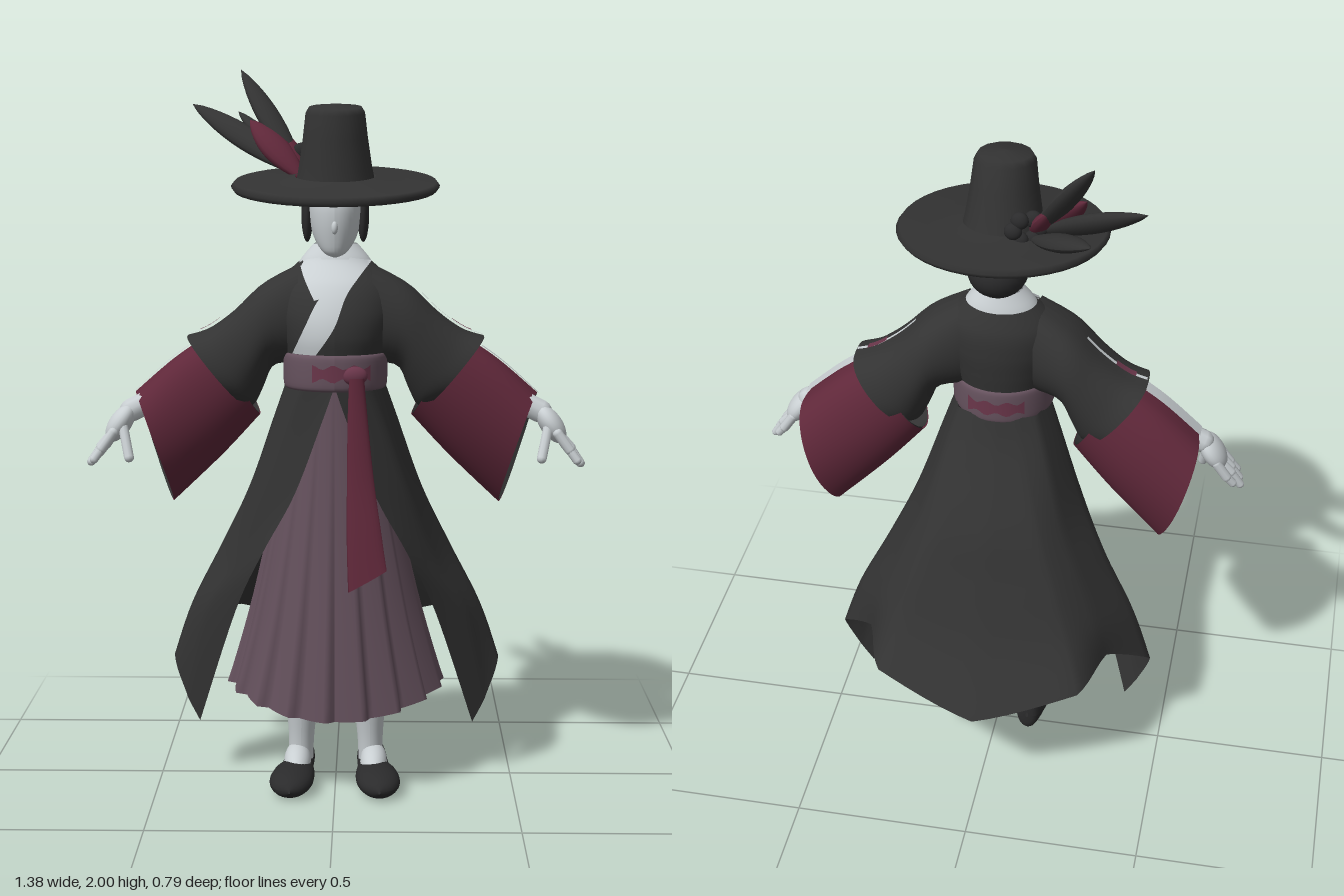
import * as THREE from 'three';

const mat = (name, color) => new THREE.MeshStandardMaterial({ name, color, side: THREE.DoubleSide });
const black = mat('black cloth', 0x333333);
const dark = mat('dark hair and leather', 0x2b2b2c);
const red = mat('wine red', 0x60283a);
const mauve = mat('mauve', 0x66525e);
const plum = mat('plum', 0x6a364a);
const pale = mat('pale skin and linen', 0xc9cfd2);

// Catmull-Rom through rows of numbers; round = 0 gives straight lines
function spline(rows, t, round = 1) {
  const n = rows.length, f = t * (n - 1), i = Math.min(Math.floor(f), n - 2), w = f - i;
  const b = rows[i], c = rows[i + 1], a = rows[i - 1] ?? b, d = rows[i + 2] ?? c;
  return b.map((_, k) => {
    const line = b[k] + (c[k] - b[k]) * w;
    const curve = 0.5 * (2 * b[k] + (c[k] - a[k]) * w + (2 * a[k] - 5 * b[k] + 4 * c[k] - d[k]) * w * w
      + (3 * b[k] - a[k] - 3 * c[k] + d[k]) * w * w * w);
    return line + (curve - line) * round;
  });
}

// Surface from fn(u, v) -> [x, y, z]
function surface(name, material, nu, nv, fn) {
  const pos = [], idx = [];
  for (let j = 0; j <= nv; j++) for (let i = 0; i <= nu; i++) pos.push(...fn(i / nu, j / nv));
  for (let j = 0; j < nv; j++) for (let i = 0; i < nu; i++) {
    const a = j * (nu + 1) + i, b = a + nu + 1;
    idx.push(a, a + 1, b, a + 1, b + 1, b);
  }
  const g = new THREE.BufferGeometry();
  g.setAttribute('position', new THREE.Float32BufferAttribute(pos, 3));
  g.setIndex(idx);
  g.computeVertexNormals();
  return part(name, g, material);
}

function part(name, geometry, material, p = [0, 0, 0], s = [1, 1, 1]) {
  const m = new THREE.Mesh(geometry, material);
  m.name = name;
  m.position.set(...p);
  m.scale.set(...s);
  return m;
}
const ball = (name, material, p, s) => part(name, new THREE.SphereGeometry(1, 24, 16), material, p, s);

// Stack of ellipses, rows are [y, halfX, halfZ, centreZ, centreX]
const stack = (name, material, rows, nv = 16) => surface(name, material, 40, nv, (u, v) => {
  const [y, hx, hz, cz, cx = 0] = spline(rows, v), a = u * Math.PI * 2;
  return [cx + hx * Math.sin(a), y, cz + hz * Math.cos(a)];
});

// Round-ended rod between two points
function rod(name, material, a, b, r) {
  const p = new THREE.Vector3(...a), q = new THREE.Vector3(...b), d = q.clone().sub(p);
  const m = part(name, new THREE.CapsuleGeometry(r, d.length(), 4, 10), material);
  m.position.copy(p).add(q).multiplyScalar(0.5);
  m.quaternion.setFromUnitVectors(new THREE.Vector3(0, 1, 0), d.normalize());
  return m;
}

// Torso rows, evenly spaced for sampling by height
const torso = [[1.14, .13, .13, .1], [1.21, .132, .13, .1], [1.28, .15, .14, .1], [1.35, .165, .137, .09],
  [1.42, .155, .115, .073], [1.49, .085, .062, .052]];
function torsoZ(x, y) {
  const [, hx, hz, cz] = spline(torso, THREE.MathUtils.clamp((y - 1.14) / .35, 0, 1));
  return cz + hz * Math.sqrt(Math.max(0.05, 1 - (x / hx) ** 2));
}
// Linen band laid on the chest, rows are [xA, yA, xB, yB]
const band = (name, rows, lift) => surface(name, pale, 12, 24, (u, v) => {
  const [xa, ya, xb, yb] = spline(rows, v), x = xa + (xb - xa) * u, y = ya + (yb - ya) * u;
  return [x, y, torsoZ(x, y) + lift];
});

// Sleeve rows: [topX, topY, bottomX, bottomY, halfZ, centreZ, backSkew, narrowing and backward drift of the bottom]
const upperSleeve = [[.1, 1.47, .1, 1.2, .1, .075, 0, 0], [.2, 1.415, .17, 1.19, .115, .065, 0, 0], [.28, 1.34, .2, 1.13, .115, .06, 0, 0],
  [.35, 1.29, .225, 1.08, .115, .055, 0, 0], [.41, 1.27, .25, 1.075, .118, .05, 0, 0]];
const cuff = [[.34, 1.28, .21, 1.05, .1, .05, 0, .01], [.45, 1.205, .32, .93, .11, .045, .005, .025], [.557, 1.11, .46, .795, .118, .045, .018, .05]];
const sleeve = (name, material, rows, s, k = 1) => surface(name, material, 40, 14, (u, v) => {
  const [tx, ty, bx, by, hz, cz, skew, drift] = spline(rows, v), a = u * Math.PI * 2, c = (1 - k * Math.cos(a)) / 2;
  const w = Math.sign(Math.sin(a)) * Math.abs(Math.sin(a)) ** (c < .5 ? .7 : 1);
  return [s * (tx + (bx - tx) * c - skew * w), ty + (by - ty) * c, cz - drift * c + k * (hz - drift * c * c) * w];
});
const strip = (name, material, rows, s, z, w, v0, v1, lift) => surface(name, material, 1, 10, (u, v) => {
  const [tx, ty] = spline(rows, v0 + (v1 - v0) * v);
  return [s * (tx + lift), ty + lift, z + (u - .5) * w];
});

// Coat skirt columns from front edge to centre back, six points each
const coat = [
  [0, 1.15, .235, .035, 1.05, .232, .11, .85, .215, .2, .68, .18, .28, .5, .11, .39, .155, .01],
  [.09, 1.15, .2, .13, 1.05, .18, .2, .85, .15, .28, .65, .1, .37, .48, .05, .425, .22, 0],
  [.135, 1.15, .09, .17, 1.05, .07, .24, .85, .04, .32, .68, 0, .41, .5, -.02, .465, .34, -.03],
  [.11, 1.15, 0, .14, 1.05, -.03, .2, .85, -.09, .26, .7, -.13, .32, .55, -.16, .35, .44, -.15],
  [.06, 1.15, -.025, .08, 1.05, -.06, .14, .85, -.15, .19, .7, -.2, .24, .55, -.25, .29, .42, -.315],
  [0, 1.15, -.035, 0, 1.05, -.07, 0, .85, -.17, 0, .7, -.22, 0, .52, -.29, 0, .34, -.395]];
const coatAll = [...coat, ...coat.slice(0, 5).reverse().map(c => c.map((n, i) => i % 3 ? n : -n))];

// Leaf-shaped feather from base to tip
function feather(name, material, base, tip, width) {
  const a = new THREE.Vector3(...base), d = new THREE.Vector3(...tip).sub(a);
  const n = new THREE.Vector3(.6, -.1, .8), side = d.clone().cross(n).normalize();
  n.crossVectors(side, d).normalize();
  return surface(name, material, 14, 14, (u, v) => {
    const w = width * (Math.sin(Math.PI * v ** 1.1) ** .75 + .15 * (1 - v)), t = u * Math.PI * 2;
    return a.clone().addScaledVector(d, v).addScaledVector(side, w * Math.cos(t))
      .addScaledVector(n, .6 * w * Math.sin(t)).toArray();
  });
}

export function createModel() {
  const model = new THREE.Group();
  model.name = 'robedFigure';
  const add = (...m) => model.add(...m);

  // Robe, sash and pleated skirt
  add(stack('robeTop', black, torso, 60));
  add(surface('coatSkirt', black, 60, 30, (u, v) => {
    const c = spline(coatAll, u, .35);
    return spline(Array.from({ length: 6 }, (_, i) => c.slice(i * 3, i * 3 + 3)), v);
  }));
  const skirt = [[1.15, .11, .11, .1], [.93, .145, .125, .095], [.7, .19, .16, .07], [.46, .24, .2, .04], [.22, .3, .232, .015]];
  add(surface('pleatedSkirt', mauve, 180, 16, (u, v) => {
    const [y, hx, hz, cz] = spline(skirt, v), a = u * Math.PI * 2, f = (u * 18) % 1;
    const r = 1 + .08 * v * ((f < .8 ? f / .8 : (1 - f) / .2) - .6);
    return [hx * r * Math.sin(a), y + .06 * v * v * Math.sin(a) ** 2, cz + hz * r * Math.cos(a)];
  }));
  add(stack('sash', mauve, [[1.135, .135, .135, .1], [1.15, .142, .142, .102], [1.22, .142, .142, .102], [1.235, .132, .132, .1]]));
  for (const [name, a0] of [['sashFrontPatch', .15], ['sashBackPatch', Math.PI]])
    add(surface(name, plum, 16, 2, (u, v) => {
      const a = a0 + (u - .5) * 1.15, h = .018 + .006 * Math.cos(u * 18);
      return [.146 * Math.sin(a), 1.185 + h * (2 * v - 1), .102 + .146 * Math.cos(a)];
    }));
  add(ball('sashKnot', plum, [.055, 1.18, .238], [.034, .026, .018]));
  const ribbon = [[.06, 1.175, .25, .02], [.062, 1.08, .252, .026], [.07, .9, .265, .036], [.08, .75, .285, .046], [.09, .63, .3, .052]];
  add(surface('ribbon', red, 16, 16, (u, v) => {
    const [x, y, z, w] = spline(ribbon, v), a = u * Math.PI * 2, c = Math.cos(a);
    return [x + w * c, y + .03 * v * v * c, z + .011 * Math.sin(a)];
  }));

  // Crossed collar, chest linen and neck
  add(band('leftCollar', [[.1, 1.48, .04, 1.49], [.065, 1.44, 0, 1.43], [.03, 1.39, -.045, 1.38], [0, 1.31, -.08, 1.31], [-.05, 1.235, -.115, 1.235]], .012));
  add(band('rightCollar', [[-.1, 1.48, -.04, 1.49], [-.085, 1.44, -.015, 1.44], [-.055, 1.38, .015, 1.4]], .01));
  add(band('chestLinen', [[-.07, 1.49, .07, 1.49], [-.06, 1.45, .055, 1.45], [-.03, 1.385, .01, 1.385]], .008));
  add(stack('neckCollar', pale, [[1.465, .105, .076, .056], [1.49, .09, .068, .055], [1.525, .06, .052, .052]], 10));
  add(stack('neck', pale, [[1.44, .06, .06, .08], [1.5, .047, .047, .065], [1.6, .047, .047, .07]], 6));

  // Head and hair
  add(stack('face', pale, [[1.493, .004, .004, .165], [1.505, .03, .03, .158], [1.54, .055, .07, .13], [1.59, .07, .095, .115],
    [1.64, .075, .1, .11], [1.69, .07, .09, .1]]));
  add(ball('nose', pale, [0, 1.575, .206], [.009, .018, .011]));
  add(ball('hairCap', dark, [0, 1.645, .055], [.09, .065, .09]));
  add(ball('hairBun', dark, [0, 1.605, .005], [.083, .077, .083]));
  for (const s of [-1, 1]) add(ball('sideLock', dark, [s * .076, 1.61, .12], [.016, .078, .034]));

  // Tilted hat
  const hat = new THREE.Group();
  hat.name = 'hat';
  hat.position.set(0, 1.672, .083);
  hat.rotation.x = .12;
  const profile = pts => pts.map(p => new THREE.Vector2(...p));
  hat.add(part('brim', new THREE.LatheGeometry(profile([[0, .005], [.12, .005], [.22, 0], [.275, 0], [.284, .012], [.275, .024],
    [.2, .022], [.11, .038]]), 40), black, [0, 0, 0], [1, 1, 1.09]));
  hat.add(part('crown', new THREE.LatheGeometry(profile([[.11, .02], [.102, .06], [.09, .14], [.082, .208], [.072, .224], [0, .232]]), 14),
    black, [0, 0, 0], [1, 1, 1.06]));
  add(hat);

  // Feathers and hat flower
  add(feather('tallFeather', black, [-.09, 1.71, .02], [-.27, 2, -.14], .033));
  add(feather('outerFeather', black, [-.09, 1.71, .03], [-.41, 1.905, -.17], .034));
  add(feather('backFeather', black, [-.09, 1.71, 0], [-.29, 1.885, -.32], .032));
  add(feather('redFeather', red, [-.09, 1.7, .045], [-.24, 1.86, -.05], .038));
  add(feather('smallRedFeather', red, [-.09, 1.7, .035], [-.15, 1.83, -.06], .03));
  for (let i = 0; i < 6; i++) {
    const a = i * Math.PI / 3;
    add(ball('hatFlowerPetal', dark, [-.08 + .033 * Math.cos(a), 1.745 + .033 * Math.sin(a), -.02 - .015 * Math.cos(a)], [.024, .024, .018]));
  }

  for (const s of [-1, 1]) {
    // Sleeves with wide cuffs
    add(sleeve('upperSleeve', black, upperSleeve, s), sleeve('cuff', red, cuff, s), sleeve('cuffLining', black, cuff, s, .965));
    add(strip('cuffSlit', pale, cuff, s, .062, .045, .3, 1, .004));
    add(strip('sleeveSeam', pale, upperSleeve, s, .05, .012, .35, .95, .004), strip('sleeveMark', plum, upperSleeve, s, .05, .022, .62, .82, .006));

    // Arm and hand
    add(rod('forearm', pale, [s * .42, 1.135, .07], [s * .565, 1.065, .085], .033));
    const palm = ball('palm', pale, [s * .595, 1.03, .095], [.031, .06, .05]);
    palm.rotation.z = s * .6;
    add(palm);
    for (let i = 0; i < 4; i++) {
      const z = .06 + i * .026, r = .014, drop = [.02, 0, .005, .015][i];
      add(rod('fingerBase', pale, [s * .61, 1.01, z], [s * (.65 - drop / 2), .965, z + .004], r));
      add(rod('fingerTip', pale, [s * (.65 - drop / 2), .965, z + .004], [s * (.678 - drop), .922 + drop, z + .01], r * .85));
    }
    add(rod('thumb', pale, [s * .585, 1.03, .125], [s * .565, .945, .162], .014));

    // Leg, foot and slipper
    add(stack('leg', pale, [[.04, .035, .04, .03, s * .1], [.12, .036, .042, .035, s * .098], [.22, .045, .05, .045, s * .096],
      [.34, .058, .062, .055, s * .095], [.5, .06, .065, .06, s * .092]]));
    const foot = ball('foot', pale, [s * .108, .06, .085], [.038, .04, .09]);
    foot.rotation.x = .25;
    add(foot);
    // Slipper rows: [z, halfWidth, bottom, top, centreX]
    const slipper = [[-.047, .004, .05, .07, .1], [-.04, .028, .004, .105, .1], [0, .041, 0, .1, .102], [.06, .045, .008, .068, .108],
      [.13, .058, .002, .074, .116], [.2, .06, 0, .07, .122], [.25, .04, .006, .057, .124], [.272, .003, .025, .035, .124]];
    add(surface('slipper', dark, 24, 24, (u, v) => {
      const [z, w, b, t, x] = spline(slipper, v), a = u * Math.PI * 2;
      return [s * (x + w * Math.cos(a)), Math.max(0, (b + t) / 2 + (t - b) / 2 * Math.sin(a)), z];
    }));
  }
  return model;
}
